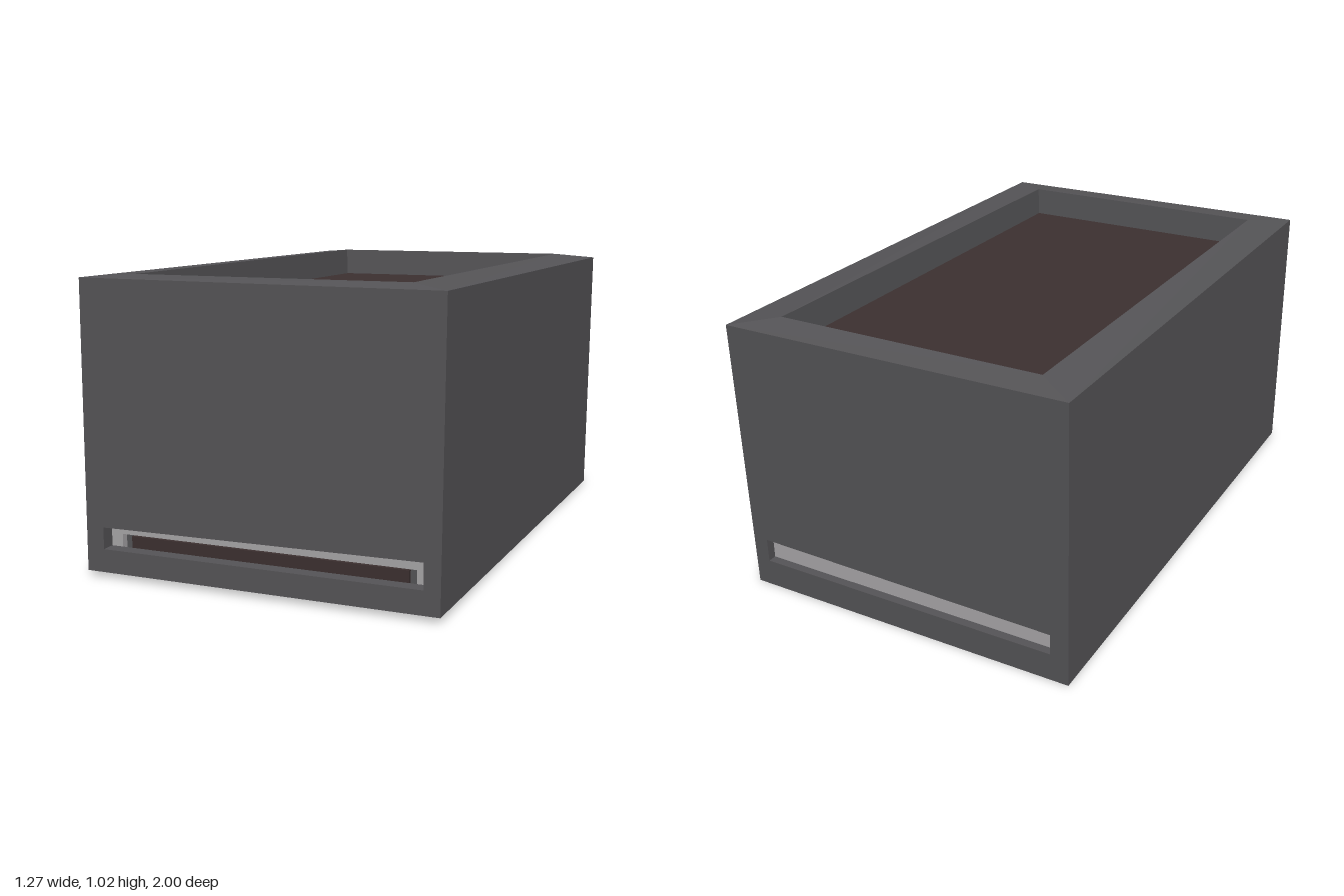
import * as THREE from 'three';

const body = new THREE.MeshStandardMaterial({ color: 0x555457 });
body.name = 'charcoal';
const soilMat = new THREE.MeshStandardMaterial({ color: 0x3c3030 });
soilMat.name = 'darkSoil';
const linerMat = new THREE.MeshStandardMaterial({ color: 0xa8a6a8 });
linerMat.name = 'lightGrey';

// Corner rings, counter-clockwise from above: front left, front right, back right, back left
const bottom = [[-0.635, 0.02, 1], [0.625, 0.02, 1], [0.625, 0, -0.985], [-0.635, 0, -0.985]];
const top = [[-0.635, 1.01, 0.99], [0.635, 1.005, 0.99], [0.635, 1, -1], [-0.635, 1.005, -1]];
const opening = [[-0.49, 1.018, 0.88], [0.49, 1.018, 0.88], [0.49, 1.018, -0.89], [-0.49, 1.018, -0.89]];
const SOIL_Y = 0.91;
const pocket = opening.map(([x, , z]) => [x * 0.99, SOIL_Y, z * 0.995]);

function quads(list) {
  const pos = [];
  for (const [a, b, c, d] of list) pos.push(...a, ...b, ...c, ...a, ...c, ...d);
  const g = new THREE.BufferGeometry();
  g.setAttribute('position', new THREE.Float32BufferAttribute(pos, 3));
  g.computeVertexNormals();
  return g;
}

// Quads joining one ring of corners to the next
const band = (lower, upper, sides = [0, 1, 2, 3]) =>
  quads(sides.map(i => [lower[i], lower[(i + 1) % 4], upper[(i + 1) % 4], upper[i]]));

const polygon = (Type, pts) => new Type(pts.map(p => new THREE.Vector2(p[0], p[1])));

// End wall with a slot; leans so that it meets the corner rings
function endWall(i, j, slot, inward) {
  const shape = polygon(THREE.Shape, [bottom[i], bottom[j], top[j], top[i]]);
  shape.holes.push(polygon(THREE.Path, slot));
  const g = new THREE.ExtrudeGeometry(shape, { depth: 0.05, bevelEnabled: false });
  const p = g.attributes.position;
  for (let k = 0; k < p.count; k++) {
    const t = (p.getY(k) - bottom[i][1]) / (top[i][1] - bottom[i][1]);
    const face = THREE.MathUtils.lerp(bottom[i][2], top[i][2], t);
    p.setZ(k, p.getZ(k) + face - (inward < 0 ? 0.05 : 0));
  }
  g.computeVertexNormals();
  return g;
}

export function createModel() {
  const group = new THREE.Group();
  const add = (name, geometry, material, x = 0, y = 0, z = 0) => {
    const mesh = new THREE.Mesh(geometry, material);
    mesh.name = name;
    mesh.position.set(x, y, z);
    group.add(mesh);
    return mesh;
  };

  // Planter shell
  add('sideWalls', band(bottom, top, [1, 3]), body);
  add('base', quads([[...bottom].reverse()]), body);
  add('rim', band(top, opening), body);
  add('innerWalls', band(opening, pocket), body);
  add('soil', quads([pocket]), soilMat);
  const slot = [[-0.57, 0.1], [0.57, 0.1], [0.57, 0.187], [-0.57, 0.175]];
  add('frontWall', endWall(0, 1, slot, -1), body);
  add('backWall', endWall(3, 2, slot, 1), body);

  // Light liner behind the front slot, notched to show the soil
  const notched = polygon(THREE.Shape, [
    [-0.6, 0.08], [-0.53, 0.08], [-0.53, 0.143], [0.53, 0.143],
    [0.53, 0.08], [0.6, 0.08], [0.6, 0.2], [-0.6, 0.2],
  ]);
  add('frontLiner', new THREE.ExtrudeGeometry(notched, { depth: 0.03, bevelEnabled: false }), linerMat, 0, 0, 0.915);
  add('soilEdge', new THREE.BoxGeometry(1.0, 0.06, 0.03), soilMat, 0, 0.105, 0.92);
  add('trayEdge', new THREE.BoxGeometry(1.1, 0.09, 0.02), body, 0, 0.125, 0.91);

  // Plain liner behind the back slot
  add('backLiner', new THREE.BoxGeometry(1.2, 0.12, 0.02), linerMat, 0, 0.14, -0.945);
  return group;
}
